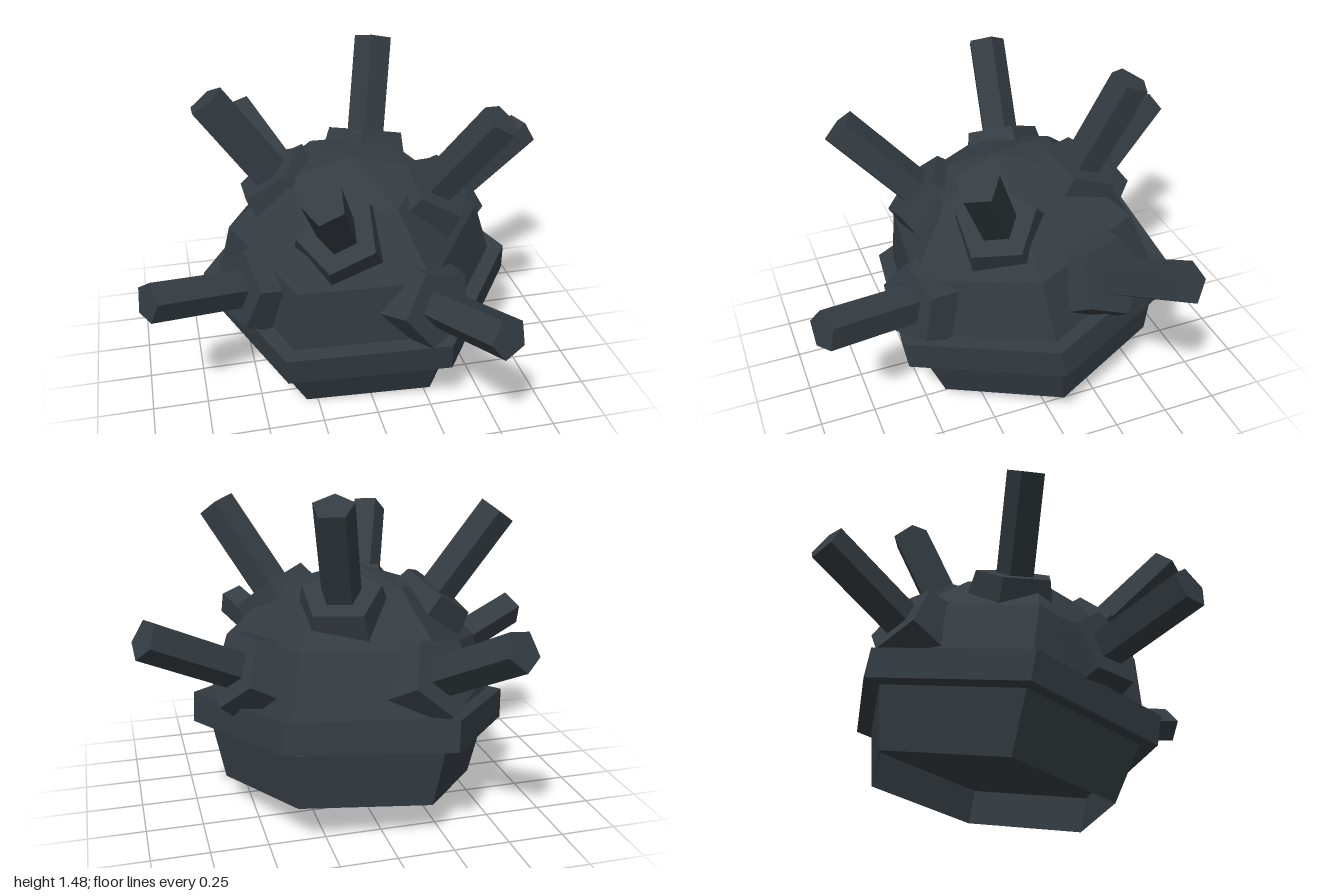
import * as THREE from 'three';

export function createModel() {
  const model = new THREE.Group();
  model.name = 'spikedMine';
  const slate = new THREE.MeshStandardMaterial({ color: 0x343c42, flatShading: true });
  slate.name = 'darkSlate';

  const add = (parent, name, geometry, y = 0) => {
    const mesh = new THREE.Mesh(geometry.toNonIndexed(), slate);
    mesh.geometry.computeVertexNormals();
    mesh.name = name;
    mesh.position.y = y;
    parent.add(mesh);
  };

  const centre = new THREE.Vector3(0.02, 0.423, -0.062);
  const up = new THREE.Vector3(0, 1, 0);

  // Tilted six-sided body: a coarse ball cut flat below, with a recessed underside
  const body = new THREE.Group();
  body.name = 'body';
  body.position.copy(centre);
  body.quaternion.setFromUnitVectors(up, new THREE.Vector3(-0.065, 1, 0.16).normalize());
  body.rotateY(THREE.MathUtils.degToRad(23.2));
  model.add(body);

  const R = 0.665;
  const rim = R * Math.cos(Math.PI / 6);
  const profile = [new THREE.Vector2(0, -R / 4), new THREE.Vector2(rim, -R / 4)];
  for (let lat = -30; lat <= 90; lat += 30) {
    const a = THREE.MathUtils.degToRad(lat);
    profile.push(new THREE.Vector2(lat === 90 ? 0 : R * Math.cos(a), R * Math.sin(a)));
  }
  add(body, 'shell', new THREE.LatheGeometry(profile, 6));

  // Belt is an open band, so it leaves the recess clear
  const belt = [[0.6, -0.069], [0.725, -0.069], [0.725, 0.066], [0.6, 0.066]];
  add(body, 'belt', new THREE.LatheGeometry(belt.map((p) => new THREE.Vector2(...p)), 6));

  // Detonator spikes: direction from the centre, then where one pentagon corner points
  const spikes = [
    [[-0.43, 0.515, -0.873], [0.87, -0.1, -0.5]],
    [[0.95, 0.515, -0.333], [0, -1, -0.1]],
    [[-1.0, 0.265, 0.472], [0, 1, 0]],
    [[-0.29, 0.785, 0.742], [-0.42, -0.9, 0.77]],
    [[0.385, 0.25, 1.017], [-1, 0, 0.36]],
    [[0.54, 0.905, 0.397], [0, 0, -1]],
    [[-0.64, 0.885, -0.083], [1, 0, 0]],
    [[0.185, 1.015, -0.425], [-1, 0, 0]],
  ];
  spikes.forEach(([d, h], i) => {
    const dir = new THREE.Vector3(...d).normalize();
    const corner = new THREE.Vector3(...h).projectOnPlane(dir).normalize();
    const side = new THREE.Vector3().crossVectors(dir, corner);
    const spike = new THREE.Group();
    spike.name = `spike${i + 1}`;
    spike.position.copy(centre);
    spike.quaternion.setFromRotationMatrix(new THREE.Matrix4().makeBasis(side, dir, corner));
    add(spike, 'collar', new THREE.CylinderGeometry(0.18, 0.222, 0.18, 5), 0.587);
    add(spike, 'rod', new THREE.CylinderGeometry(0.09, 0.09, 0.52, 5), 0.86);
    model.add(spike);
  });

  return model;
}
